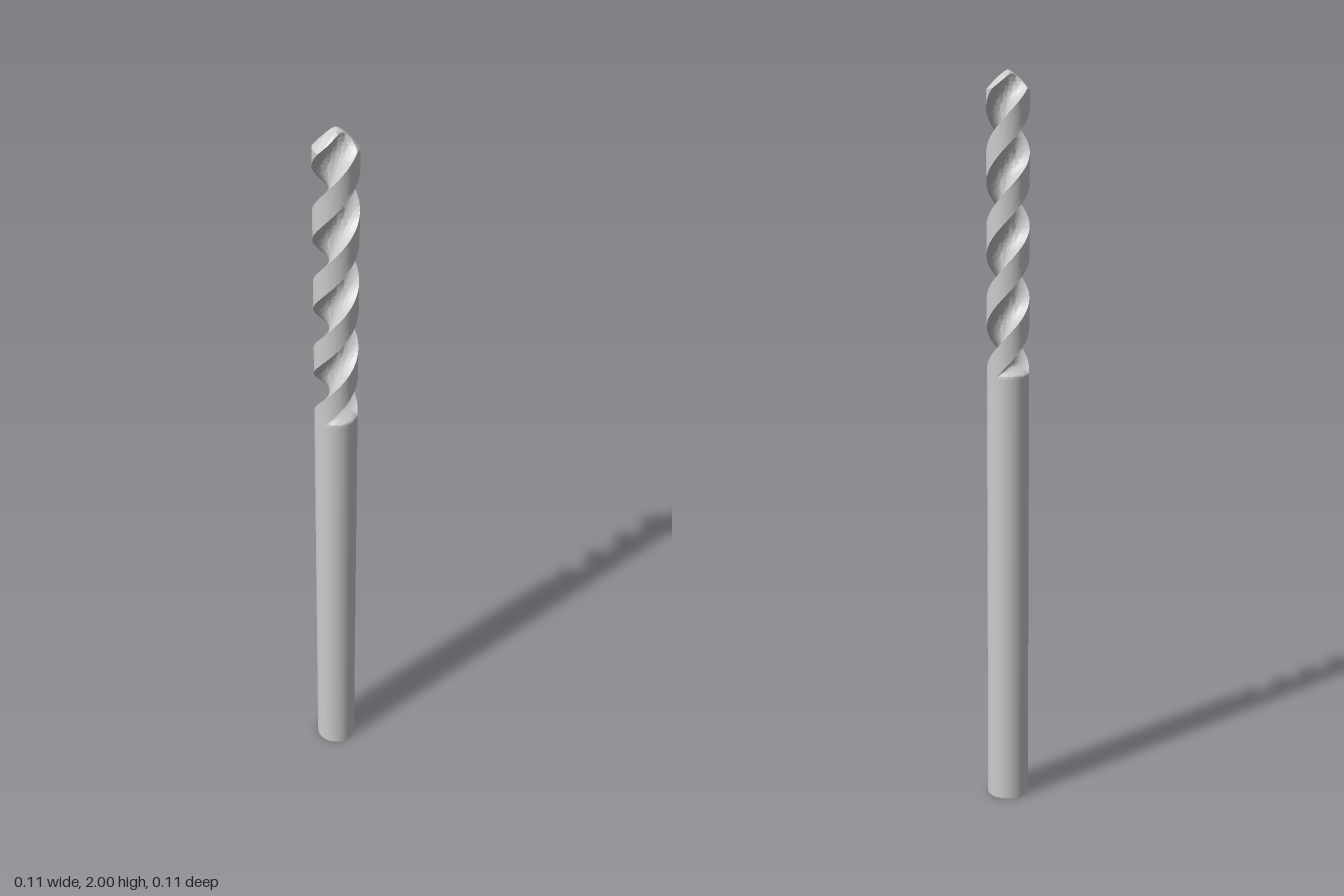
import * as THREE from 'three';
import { toCreasedNormals } from 'three/addons/utils/BufferGeometryUtils.js';

const R = 0.057, CORE = 0.017;
const SHANK_TOP = 1.2, SHOULDER = 1.95, TOP = 2;
const PITCH = 0.38;                            // height of one full turn
const LAND = THREE.MathUtils.degToRad(37);     // half-width of a land
const PHASE = THREE.MathUtils.degToRad(-55);   // land direction at the shoulder

// Cross-section as polar points: two outer lands joined by two concave flutes
function crossSection() {
  const points = [];
  const half = R * Math.cos(LAND), rim = R * Math.sin(LAND);
  for (let side = 0; side < 2; side++) {
    const turn = side * Math.PI;
    for (let i = 0; i < 16; i++) points.push({ a: turn - LAND + 2 * LAND * i / 16, r: R });
    for (let i = 0; i < 28; i++) {
      const t = -1 + 2 * i / 28;
      const u = -t * half, v = CORE + (rim - CORE) * t * t;
      points.push({ a: turn + Math.atan2(v, u), r: Math.hypot(u, v) });
    }
  }
  return points;
}

// Heights of the rings: flute run-out, twisted length, pointed end
function ringHeights() {
  const ys = [];
  const span = (from, to, n) => {
    for (let i = 0; i < n; i++) ys.push(from + (to - from) * i / n);
  };
  span(SHANK_TOP, 1.24, 12);
  span(1.24, SHOULDER, 130);
  span(SHOULDER, TOP, 24);
  ys.push(TOP);
  return ys;
}

function flutedGeometry() {
  const section = crossSection(), ys = ringHeights(), n = section.length;
  const positions = [], index = [];
  for (const y of ys) {
    const cut = THREE.MathUtils.smoothstep(y, SHANK_TOP + 0.005, 1.235);
    const tip = y <= SHOULDER ? R : R * Math.pow((TOP - y) / (TOP - SHOULDER), 0.75);
    const twist = PHASE + (SHOULDER - y) / PITCH * Math.PI * 2;
    for (const p of section) {
      const r = Math.min(THREE.MathUtils.lerp(R, p.r, cut), tip);
      positions.push(r * Math.cos(p.a + twist), y, r * Math.sin(p.a + twist));
    }
  }
  for (let i = 0; i < ys.length - 1; i++) {
    for (let j = 0; j < n; j++) {
      const k = (j + 1) % n;
      const a = i * n + j, b = i * n + k, c = a + n, d = b + n;
      index.push(a, c, b);
      if (i < ys.length - 2) index.push(b, c, d);
    }
  }
  const geometry = new THREE.BufferGeometry();
  geometry.setAttribute('position', new THREE.Float32BufferAttribute(positions, 3));
  geometry.setIndex(index);
  return toCreasedNormals(geometry, 0.6);
}

export function createModel() {
  const model = new THREE.Group();
  model.name = 'drillBit';
  const material = new THREE.MeshStandardMaterial({ color: 0xcccccc });

  // Plain round shank
  const shank = new THREE.Mesh(new THREE.CylinderGeometry(R, R, SHANK_TOP, 64), material);
  shank.name = 'shank';
  shank.position.y = SHANK_TOP / 2;

  // Twisted cutting length with pointed end
  const flutes = new THREE.Mesh(flutedGeometry(), material);
  flutes.name = 'flutedCutter';

  model.add(shank, flutes);
  return model;
}
